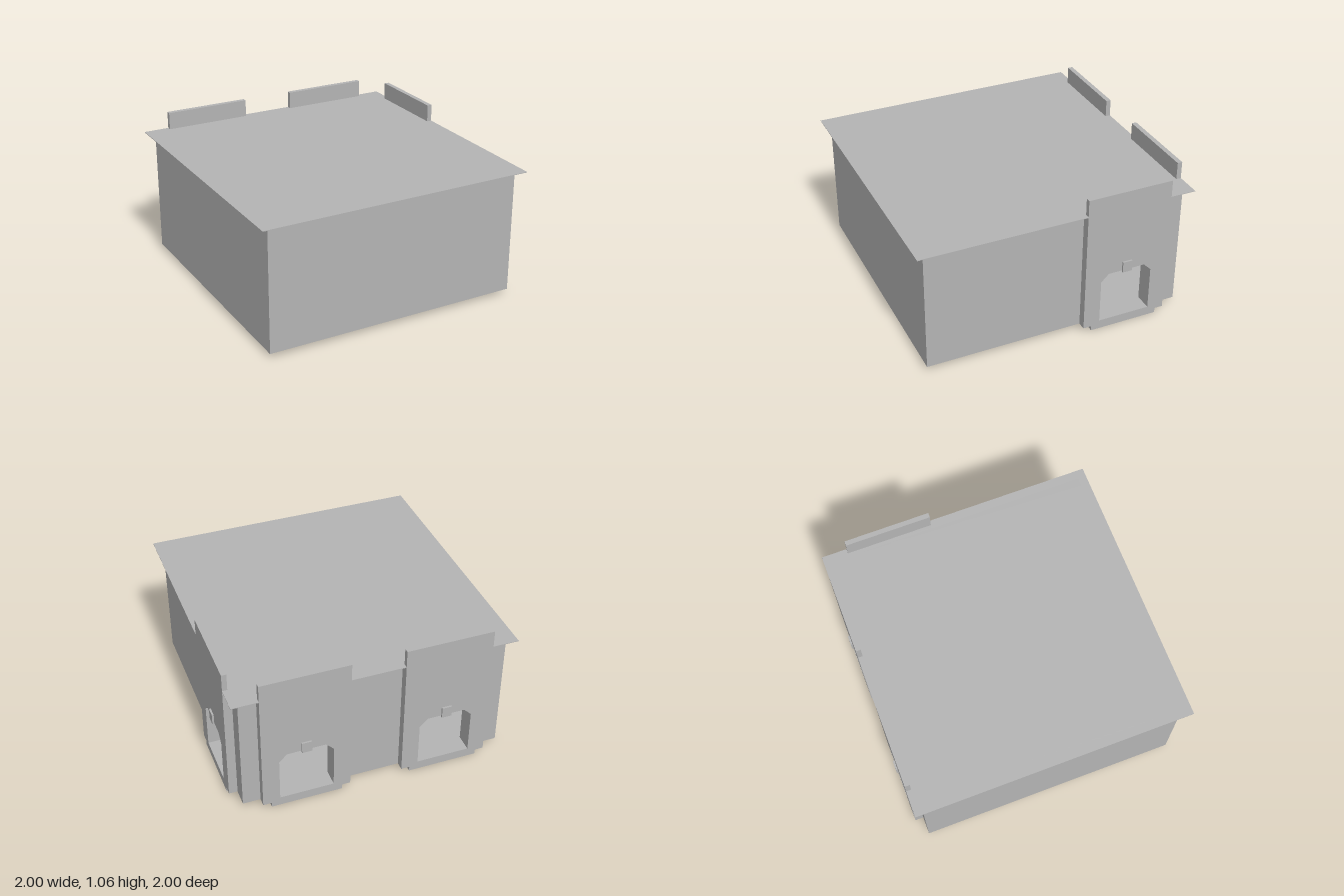
import * as THREE from 'three';

export function createModel() {
  const grey = new THREE.MeshStandardMaterial({ color: 0xb4b4b4 });
  grey.name = 'plainGrey';
  const model = new THREE.Group();
  model.name = 'cornerBuilding';

  // Box given by its low and high corners
  function box(parent, name, [x0, y0, z0], [x1, y1, z1]) {
    const mesh = new THREE.Mesh(new THREE.BoxGeometry(x1 - x0, y1 - y0, z1 - z0), grey);
    mesh.position.set((x0 + x1) / 2, (y0 + y1) / 2, (z0 + z1) / 2);
    mesh.name = name;
    parent.add(mesh);
  }

  // Window opening with clipped top corners, centred on u
  function opening(u) {
    return new THREE.Path([
      [-0.19, 0.065], [0.19, 0.065], [0.19, 0.385],
      [0.135, 0.44], [-0.135, 0.44], [-0.19, 0.385],
    ].map(([x, y]) => new THREE.Vector2(u + x, y)));
  }

  // Upright slab from u0 to u1 with window openings, between depths z0 and z1
  function slab(parent, name, u0, u1, y0, y1, z0, z1, windows) {
    const shape = new THREE.Shape([
      [u0, y0], [u1, y0], [u1, y1], [u0, y1],
    ].map(([x, y]) => new THREE.Vector2(x, y)));
    windows.forEach((u) => shape.holes.push(opening(u)));
    const geometry = new THREE.ExtrudeGeometry(shape, { depth: z1 - z0, bevelEnabled: false });
    geometry.translate(0, 0, z0);
    const mesh = new THREE.Mesh(geometry, grey);
    mesh.name = name;
    parent.add(mesh);
  }

  // A wall with projecting window bays, built facing +z and turned into place
  function bayWall(name, angle, u0, u1, bays) {
    const side = new THREE.Group();
    side.name = name;
    side.rotation.y = angle;
    slab(side, 'wall', u0, u1, 0.035, 0.935, 0.86, 0.925, bays);
    for (const u of bays) {
      const bay = new THREE.Group();
      bay.name = 'windowBay';
      slab(bay, 'bayPanel', u - 0.31, u + 0.31, 0.035, 0.935, 0.925, 0.985, [u]);
      box(bay, 'parapet', [u - 0.31, 0.935, 0.95], [u + 0.31, 1.06, 0.985]);
      box(bay, 'bayFoot', [u - 0.25, 0, 0.86], [u + 0.25, 0.035, 0.985]);
      box(bay, 'keystone', [u - 0.035, 0.43, 0.985], [u + 0.035, 0.51, 0.998]);
      side.add(bay);
    }
    model.add(side);
  }

  bayWall('leftSide', Math.PI / 2, -0.94, 0.925, [0.492]);
  bayWall('backSide', Math.PI, -0.86, 0.94, [-0.492, 0.505]);

  // Plain walls, floor and the thin overhanging roof
  box(model, 'frontWall', [-0.94, 0.035, 0.88], [0.86, 0.935, 0.94]);
  box(model, 'rightWall', [-0.94, 0.035, -0.86], [-0.88, 0.935, 0.88]);
  box(model, 'floor', [-0.88, 0, -0.86], [0.86, 0.065, 0.88]);
  box(model, 'roof', [-1, 0.931, -0.985], [0.985, 0.935, 0.998]);

  // Small fittings inside on the far wall
  box(model, 'skirting', [-0.88, 0.065, -0.86], [-0.872, 0.1, 0.88]);
  box(model, 'upperFitting', [-0.88, 0.17, -0.625], [-0.86, 0.205, -0.56]);
  box(model, 'lowerFitting', [-0.88, 0.115, -0.69], [-0.86, 0.15, -0.59]);

  return model;
}
